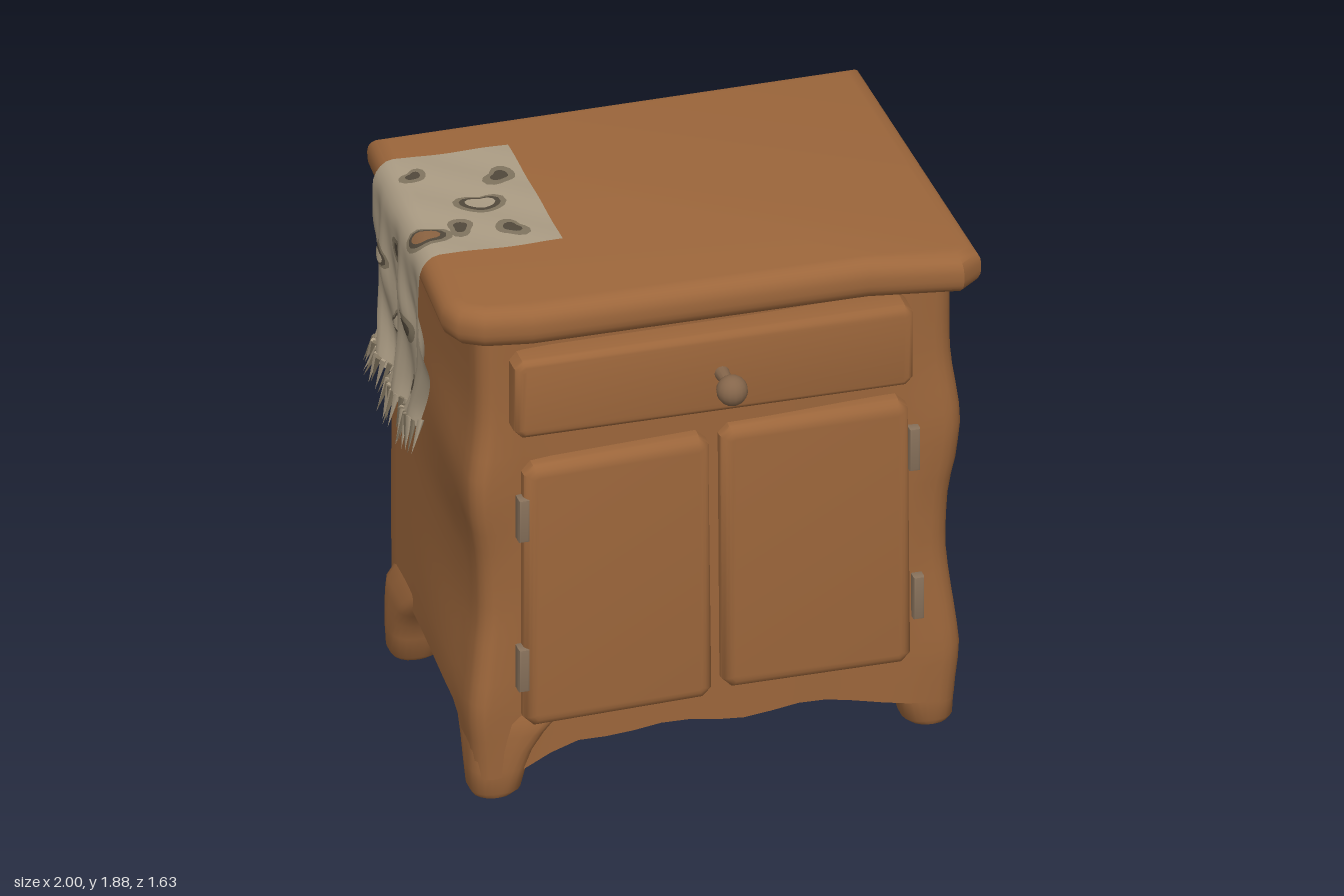
import * as THREE from 'three';
import { toCreasedNormals } from 'three/addons/utils/BufferGeometryUtils.js';

const paint = (name, color, extra = {}) => {
  const m = new THREE.MeshStandardMaterial({ color, ...extra });
  m.name = name;
  return m;
};
const smooth = THREE.MathUtils.smoothstep;
const lerp = THREE.MathUtils.lerp;
const clamp01 = t => THREE.MathUtils.clamp(t, 0, 1);

// Rounded rectangle ring of [x, z] points, each straight edge split into n parts
function roundedRing(hx, hz, r, n) {
  const corners = [[1, 1], [-1, 1], [-1, -1], [1, -1]];
  const pts = [];
  const at = (k, a) => [corners[k][0] * (hx - r) + r * Math.cos(a), corners[k][1] * (hz - r) + r * Math.sin(a)];
  for (let k = 0; k < 4; k++) {
    for (let i = 0; i <= 4; i++) pts.push(at(k, (k + i / 4) * Math.PI / 2));
    const a = (k + 1) * Math.PI / 2, p = at(k, a), q = at((k + 1) % 4, a);
    for (let i = 1; i < n; i++) pts.push([lerp(p[0], q[0], i / n), lerp(p[1], q[1], i / n)]);
  }
  return pts;
}

// Skin rings of [x, y, z] from bottom to top; capY sets the height of the two cap centres
function loft(rings, capY) {
  const n = rings[0].length, pos = rings.flat(2), idx = [];
  for (let r = 0; r < rings.length - 1; r++) for (let i = 0; i < n; i++) {
    const j = (i + 1) % n, a = r * n + i, b = r * n + j;
    idx.push(a, a + n, b, b, a + n, b + n);
  }
  [rings[0], rings[rings.length - 1]].forEach((ring, top) => {
    const c = pos.length / 3, base = top ? (rings.length - 1) * n : 0;
    pos.push(ring.reduce((s, p) => s + p[0], 0) / n, capY[top], ring.reduce((s, p) => s + p[2], 0) / n);
    for (let i = 0; i < n; i++) {
      const j = (i + 1) % n;
      idx.push(c, base + (top ? j : i), base + (top ? i : j));
    }
  });
  const g = new THREE.BufferGeometry();
  g.setAttribute('position', new THREE.Float32BufferAttribute(pos, 3));
  g.setIndex(idx);
  return toCreasedNormals(g, 0.9);
}

// Bevelled slab of a polygon, running from z = 0 to z = depth
function bevelled(points, depth, bevel, segments) {
  const shape = new THREE.Shape(points.map(p => new THREE.Vector2(...p)));
  const g = new THREE.ExtrudeGeometry(shape, {
    depth: depth - 2 * bevel, bevelSize: bevel, bevelThickness: bevel, bevelSegments: segments,
  });
  g.translate(0, 0, bevel);
  return toCreasedNormals(g, 0.75);
}

// Cut each corner of a polygon by the length c
const chamfer = (pts, c) => pts.flatMap((p, i) => [pts.at(i - 1), pts[(i + 1) % pts.length]].map(q => {
  const t = c / Math.hypot(q[0] - p[0], q[1] - p[1]);
  return [lerp(p[0], q[0], t), lerp(p[1], q[1], t)];
}));

// Grid surface from a function of u, v in 0..1
function sheet(fn, nu, nv) {
  const g = new THREE.PlaneGeometry(1, 1, nu, nv), p = g.attributes.position, uv = g.attributes.uv;
  for (let i = 0; i < p.count; i++) p.setXYZ(i, ...fn(uv.getX(i), uv.getY(i)));
  g.computeVertexNormals();
  return g;
}

export function createModel() {
  const wood = paint('wood', 0x9c663b);
  const knobWood = paint('knob brown', 0x85664b);
  const metal = paint('old metal', 0x86705a);
  const cloth = paint('cloth', 0xab9c84, { side: THREE.DoubleSide });
  const worn = paint('worn cloth', 0x80745f, { side: THREE.DoubleSide });
  const stain = paint('dark stain', 0x51483b, { side: THREE.DoubleSide });
  const hole = paint('wood behind hole', 0x8d6442, { side: THREE.DoubleSide });
  const model = new THREE.Group();
  const cabinet = new THREE.Group();
  cabinet.name = 'cabinet';
  cabinet.rotation.y = 0.25;
  model.add(cabinet);
  const add = (name, geo, mat) => {
    const m = new THREE.Mesh(geo, mat);
    m.name = name;
    cabinet.add(m);
    return m;
  };

  // Body: wavy front corners, arched lower edge with a rim and a raised floor
  const HX = 0.81, HZ = 0.572;
  const wave = new THREE.CatmullRomCurve3([
    [0, 0], [0.2, 0.015], [0.32, 0.025], [0.65, -0.012], [0.85, -0.008], [1.14, 0.028], [1.4, 0], [1.75, 0],
  ].map(([y, d]) => new THREE.Vector3(d, y, 0)));
  const wavePts = wave.getPoints(80);
  const bulge = y => wavePts.reduce((a, b) => (Math.abs(b.y - y) < Math.abs(a.y - y) ? b : a)).x;
  const outline = roundedRing(HX, HZ, 0.065, 16);
  const lowEdge = ([x, z]) => {
    const along = Math.min(Math.abs(x) / HX, Math.abs(z) / HZ);
    const onFront = z > HZ - 0.04;
    const arch = onFront ? 0.18 + 0.012 * Math.cos(x * 14 + 2) : Math.abs(x) > HX - 0.04 ? 0.265 : 0.21;
    return lerp(arch, x < 0 ? 0.08 : 0.12, smooth(along, onFront ? 0.5 : 0.58, 0.88));
  };
  const bodyRings = [
    outline.map(([x, z]) => [x * 0.88, 0.27, z * 0.85]),
    outline.map(p => [p[0] * 0.92, lowEdge(p) + 0.01, p[1] * 0.89]),
  ];
  for (let k = 0; k <= 24; k++) {
    bodyRings.push(outline.map(p => {
      const [x, z] = p, y = lerp(lowEdge(p), 1.75, k / 24), b = bulge(y);
      const front = smooth(z, -0.4, 0.5), corner = smooth(Math.abs(x), 0.6, 0.78), face = smooth(z, 0.2, 0.5);
      const back = -0.02 * Math.exp(-(((y - 0.55) / 0.35) ** 2)) * smooth(-z, 0.2, 0.5);
      const recess = -face * (x > 0 ? 0.03 + 0.018 * smooth(x, 0.1, 0.6) : 0.03 * (1 - corner));
      const inset = -0.015 * (1 - front);
      return [x + Math.sign(x) * corner * (b * front + inset), y, z + b * 0.7 * corner * face + back + recess];
    }));
  }
  add('body', loft(bodyRings, [0.27, 1.75]), wood);

  // Stubby feet, flaring inwards as they rise into the body
  const footSteps = [[0, 0.068, 0.015], [0.02, 0.084, 0.004], [0.1, 0.096, 0], [0.16, 0.108, 0], [0.22, 0.128, 0.002], [0.27, 0.15, 0.006], [0.33, 0.16, 0.03]];
  for (const sx of [-1, 1]) for (const sz of [-1, 1]) {
    const lift = sx > 0 ? 0.018 : 0;
    const edge = sz < 0 ? 0.56 : sx > 0 ? 0.505 : 0.568;
    const rings = footSteps.map(([y, h, inset]) => roundedRing(h, h, 0.06, 3)
      .map(([x, z]) => [x + sx * (0.825 - h - inset), y + lift, z + sz * (edge - h - inset)]));
    add('foot', loft(rings, [lift, 0.33 + lift]), wood);
  }

  // Table top with soft edge
  const top = bevelled([[-0.775, -0.565], [0.775, -0.57], [0.815, 0.64], [0.785, 0.665], [0.5, 0.615],
    [-0.63, 0.605], [-0.77, 0.58], [-0.82, 0.55], [-0.84, 0.5]], 0.145, 0.06, 5);
  top.rotateX(Math.PI / 2);
  top.translate(0, 1.86, 0);
  add('tableTop', top, wood).rotation.z = 0.01;

  // Drawer and doors: pillowed panels a little out of square
  const panel = (name, pts, z0, z1, bevel) =>
    (add(name, bevelled(chamfer(pts, 0.009), z1 - z0, bevel, 5), wood).position.z = z0);
  panel('drawer', [[-0.675, 1.395], [0.61, 1.4], [0.61, 1.635], [-0.675, 1.62]], 0.44, 0.645, 0.03);
  panel('leftDoor', [[-0.622, 0.31], [-0.067, 0.33], [-0.077, 1.22], [-0.622, 1.195]], 0.48, 0.61, 0.04);
  panel('rightDoor', [[0.05, 0.345], [0.608, 0.35], [0.6, 1.245], [0.044, 1.232]], 0.46, 0.595, 0.04);

  // Round knob on a stem
  add('knob', new THREE.SphereGeometry(0.052, 16, 12), knobWood).position.set(-0.01, 1.517, 0.765);
  const stem = new THREE.CylinderGeometry(0.016, 0.026, 0.1, 12);
  stem.rotateX(Math.PI / 2);
  add('knobStem', stem, knobWood).position.set(-0.01, 1.517, 0.69);

  // Hinges
  for (const [x, y, z] of [[-0.664, 1.04, 0.575], [-0.664, 0.485, 0.575], [0.665, 1.085, 0.535], [0.68, 0.53, 0.53]]) {
    add('hinge', bevelled([[-0.01, -0.07], [0.01, -0.07], [0.01, 0.07], [-0.01, 0.07]], 0.06, 0.008, 2), metal)
      .position.set(x, y, z - 0.03);
  }

  // Cloth: lies on the top, folds over the edge and hangs in ripples
  const path = new THREE.CatmullRomCurve3([[-0.435, 1.866], [-0.62, 1.866], [-0.78, 1.868], [-0.845, 1.864], [-0.885, 1.82],
    [-0.89, 1.72], [-0.885, 1.6], [-0.865, 1.45], [-0.87, 1.32], [-0.89, 1.23]].map(([x, y]) => new THREE.Vector3(x, y, 0)));
  const clothAt = (u, v, off = 0) => {
    const p = path.getPointAt(u), t = path.getTangentAt(u);
    const hang = smooth(u, 0.42, 0.75), tail = smooth(u, 0.7, 1);
    const ripple = hang * (0.012 + 0.02 * Math.sin(v * 17 + u * 6) + 0.009 * Math.sin(v * 33 - u * 11)) + 0.002 * Math.sin(v * 14 + u * 21);
    const z = lerp(-0.41 - 0.01 * hang + 0.06 * tail, 0.245 + 0.1 * hang - 0.12 * tail, v);
    return [p.x + t.y * (off + ripple) - 0.03 * v * smooth(u, 0.1, 0.4),
      p.y - t.x * (off + ripple) - tail * 0.04 * Math.sin(v * Math.PI), z];
  };
  add('cloth', sheet((u, v) => clothAt(u, v), 44, 32), cloth);

  // Worn spots and torn holes, laid just over the cloth
  const patch = (name, u, v, r, mat, off, seed) => {
    const blob = (s, a) => {
      const k = r * s * (0.85 + 0.2 * Math.sin(a * 2 + seed) + 0.1 * Math.sin(a * 3 + seed * 2));
      return clothAt(clamp01(u + k * Math.cos(a) / 1.1), clamp01(v + k * Math.sin(a) / 0.65), off);
    };
    add(name, sheet((s, a) => blob(s, a * Math.PI * 2), 4, 18), mat);
  };
  const spots = [[0.08, 0.3, 0.06, 0], [0.18, 0.55, 0.075, 1], [0.13, 0.83, 0.055, 0], [0.27, 0.76, 0.05, 0],
    [0.33, 0.2, 0.045, 0], [0.38, 0.8, 0.075, 1], [0.53, 0.5, 0.05, 0], [0.62, 0.25, 0.045, 1],
    [0.72, 0.65, 0.05, 0], [0.82, 0.35, 0.045, 1], [0.9, 0.75, 0.045, 0]];
  spots.forEach(([u, v, r, torn], i) => {
    patch('wornSpot', u, v, r * 1.1, worn, 0.003, i * 1.7);
    patch('clothStain', u, v, r * (torn ? 0.85 : 0.6), stain, 0.005, i * 1.7);
    if (torn) patch('clothHole', u, v, r * 0.62, i === 5 ? hole : cloth, 0.007, i * 1.7);
  });

  // Frayed fringe
  for (let i = 0; i < 34; i++) {
    const strand = new THREE.ConeGeometry(0.012, 0.12, 4);
    strand.rotateX(Math.PI);
    strand.translate(0, -0.035, 0);
    const m = add('fringe', strand, i % 2 ? cloth : worn);
    m.position.set(...clothAt(1, i / 33));
    m.rotation.set(0.15 * Math.sin(i * 2.3) - (i / 33 - 0.5) * 0.7, 0, -0.25 + 0.12 * Math.sin(i * 1.3));
  }
  return model;
}
